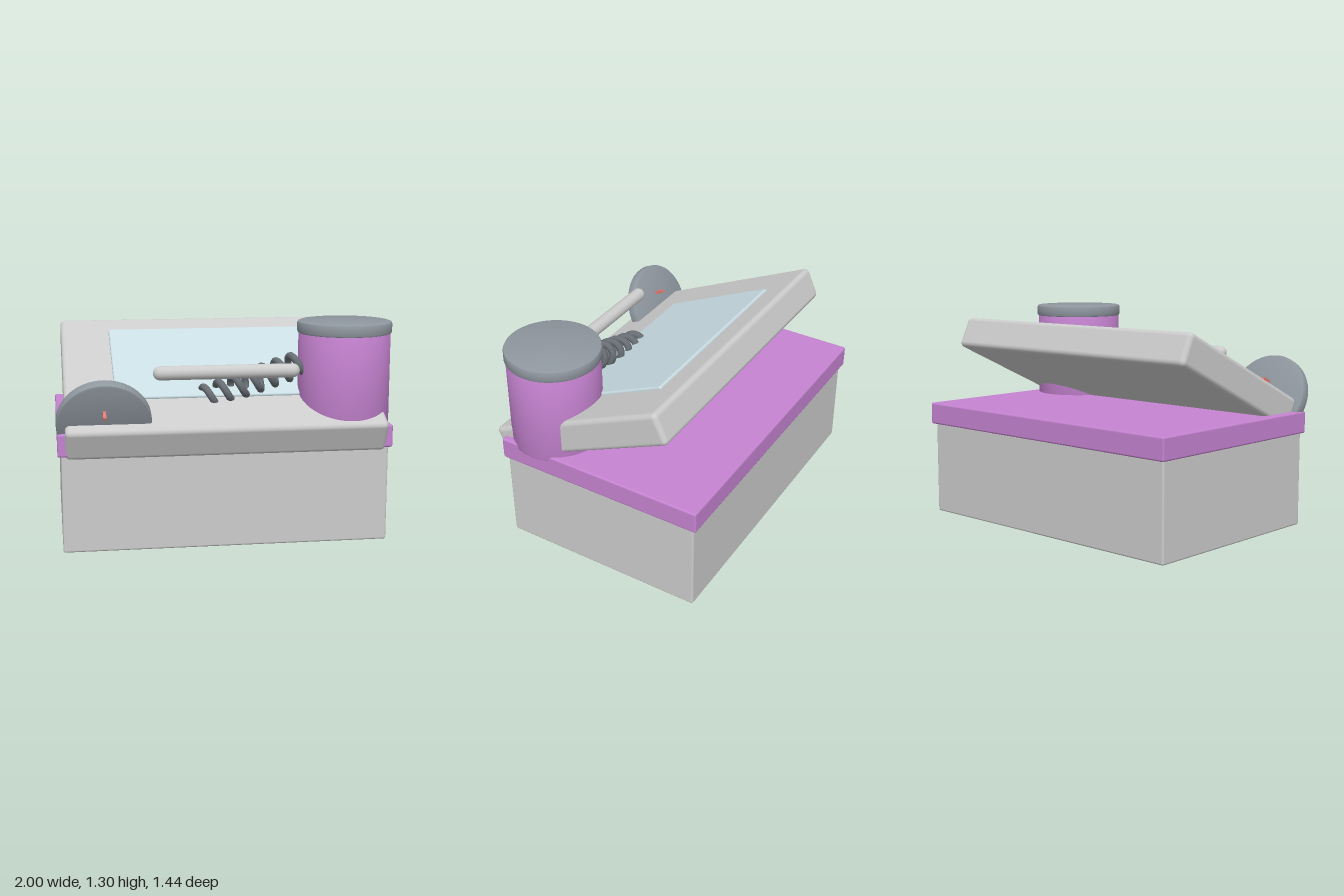
import * as THREE from 'three';
import { RoundedBoxGeometry } from 'three/addons/geometries/RoundedBoxGeometry.js';
import { toCreasedNormals } from 'three/addons/utils/BufferGeometryUtils.js';

const TILT = THREE.MathUtils.degToRad(25);

const paint = (color) => new THREE.MeshStandardMaterial({ color });
const grey = paint(0xcccccc);
const purple = paint(0xc583d0);
const steel = paint(0x8f979f);
const darkSteel = paint(0x686e74);
const glass = paint(0xc9dde3);
const red = paint(0xe07a70);

function add(parent, name, geometry, material, x, y, z) {
  const mesh = new THREE.Mesh(geometry, material);
  mesh.name = name;
  mesh.position.set(x, y, z);
  parent.add(mesh);
  return mesh;
}

const block = (w, h, d, r) => new RoundedBoxGeometry(w, h, d, 3, r);

// Upright disc or drum with softened rims, centred on its own middle
function drum(radius, height, bevel) {
  const h = height / 2;
  const k = bevel * 0.293;
  const profile = [
    [0, -h], [radius - bevel, -h], [radius - k, -h + k], [radius, -h + bevel],
    [radius, h - bevel], [radius - k, h - k], [radius - bevel, h], [0, h],
  ].map(([x, y]) => new THREE.Vector2(x, y));
  return toCreasedNormals(new THREE.LatheGeometry(profile, 56), 0.5);
}

// Helix whose axis runs along local x
class Helix extends THREE.Curve {
  constructor(radius, length, turns) {
    super();
    Object.assign(this, { radius, length, turns });
  }
  getPoint(t, target = new THREE.Vector3()) {
    const a = t * this.turns * Math.PI * 2;
    return target.set(t * this.length, Math.sin(a) * this.radius, -Math.cos(a) * this.radius);
  }
}

export function createModel() {
  const model = new THREE.Group();
  model.name = 'deskDevice';

  // Body and its overhanging lid
  add(model, 'baseBox', block(1.92, 0.575, 1.275, 0.012), grey, -0.015, 0.2875, -0.058);
  add(model, 'lidSlab', block(1.96, 0.135, 1.32, 0.012), purple, -0.015, 0.637, -0.06);

  // Sloping console with inset display
  const consoleGroup = new THREE.Group();
  consoleGroup.name = 'console';
  consoleGroup.position.set(-0.0125, 0.893, 0.078);
  consoleGroup.rotation.x = TILT;
  model.add(consoleGroup);
  add(consoleGroup, 'consolePanel', block(1.875, 0.2, 1.225, 0.03), grey, 0, 0, 0);
  add(consoleGroup, 'display', block(1.275, 0.04, 0.755, 0.012), glass, 0, 0.096, -0.079);

  // Canister and cap
  add(model, 'canister', drum(0.273, 0.57, 0.012), purple, 0.717, 0.955, 0.368);
  add(model, 'canisterCap', drum(0.281, 0.073, 0.014), steel, 0.717, 1.261, 0.368);

  // Handle rod with rounded ends
  const rod = add(model, 'handleRod', new THREE.CapsuleGeometry(0.041, 0.775, 8, 24), grey, -0.012, 1.028, 0.515);
  rod.rotation.z = Math.PI / 2;

  // Coil spring running up into the canister
  const coil = new THREE.TubeGeometry(new Helix(0.064, 0.66, 7.2), 360, 0.022, 10);
  const spring = add(model, 'spring', coil, darkSteel, -0.13, 0.848, 0.366);
  spring.rotation.z = 0.325;
  // Closed spring tip
  add(spring, 'springTip', new THREE.SphereGeometry(0.022, 12, 8), darkSteel, 0, 0, -0.064);

  // Dial standing square to the console, with a pin through it
  const dial = new THREE.Group();
  dial.name = 'dial';
  dial.position.set(-0.728, 0.765, 0.576);
  dial.rotation.x = TILT;
  model.add(dial);
  add(dial, 'dialDisc', drum(0.272, 0.068, 0.014), steel, 0, 0, 0).rotation.x = Math.PI / 2;
  add(dial, 'dialPin', new THREE.BoxGeometry(0.018, 0.018, 0.2), red, 0, 0.09, 0);

  return model;
}
